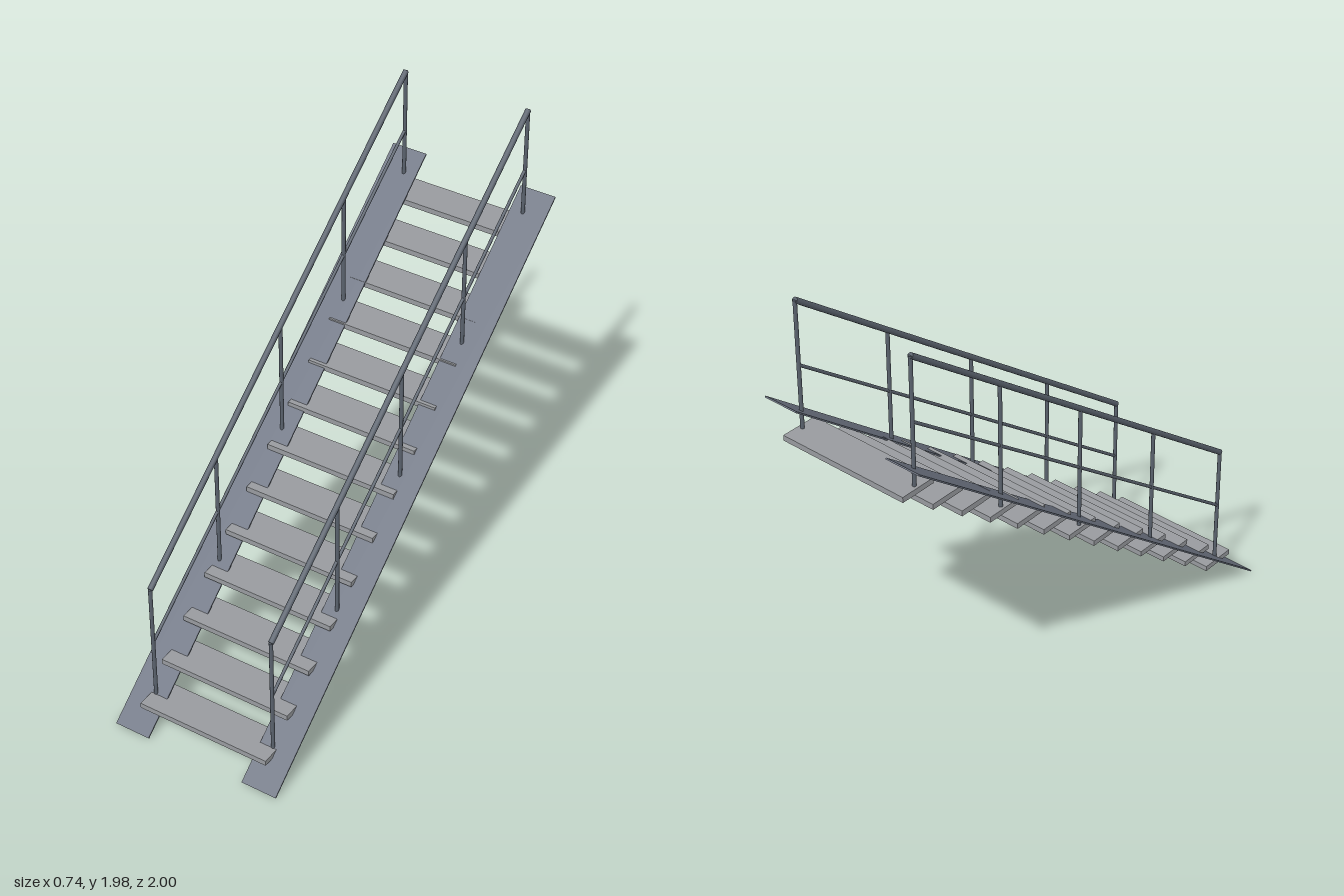
import * as THREE from 'three';

export function createModel() {
  const model = new THREE.Group();
  const mat = (name, color) => {
    const m = new THREE.MeshStandardMaterial({ color });
    m.name = name;
    return m;
  };
  const stringerPaint = mat('stringer grey', 0x6b7280);
  const treadMetal = mat('tread grey', 0x989b9f);
  const railSteel = mat('rail steel', 0x5a626d);

  const add = (parent, name, geometry, material) => {
    const mesh = new THREE.Mesh(geometry, material);
    mesh.name = name;
    parent.add(mesh);
    return mesh;
  };
  // Round bar between two points
  const bar = (parent, name, a, b, radius) => {
    const dir = b.clone().sub(a);
    const mesh = add(parent, name, new THREE.CylinderGeometry(radius, radius, dir.length(), 12), railSteel);
    mesh.position.copy(a).add(b).multiplyScalar(0.5);
    mesh.quaternion.setFromUnitVectors(new THREE.Vector3(0, 1, 0), dir.normalize());
  };

  // Open treads climbing toward the back
  const steps = 13, rise = 0.1113, run = 0.149;
  const treadZ = (i) => 0.867 - i * run;
  const treadTop = (i) => 0.109 + i * rise;
  const treads = new THREE.Group();
  treads.name = 'treads';
  model.add(treads);
  for (let i = 0; i < steps; i++) {
    add(treads, 'tread', new THREE.BoxGeometry(0.576, 0.023, 0.156), treadMetal)
      .position.set(0, treadTop(i) - 0.0115, treadZ(i));
  }

  for (const side of [-1, 1]) {
    const label = side > 0 ? 'left' : 'right';

    // Thin sloping stringer plate
    const stringer = add(model, label + 'Stringer',
      new THREE.BoxGeometry(0.153, 0.006, Math.hypot(2, 1.57)), stringerPaint);
    stringer.position.set(side * 0.2915, 0.79, 0);
    stringer.rotation.x = Math.atan2(1.57, 2);

    // Railing: a post on every third tread, handrail and mid rail
    const railing = new THREE.Group();
    railing.name = label + 'Railing';
    model.add(railing);
    const at = (i, height) => new THREE.Vector3(side * 0.27, treadTop(i) + height, treadZ(i));
    for (let i = 0; i < steps; i += 3) {
      bar(railing, 'post', at(i, 0), at(i, 0.53), 0.008);
    }
    bar(railing, 'handrail', at(0, 0.53), at(12, 0.53), 0.0115);
    bar(railing, 'midRail', at(0, 0.265), at(12, 0.265), 0.0065);
  }
  return model;
}
